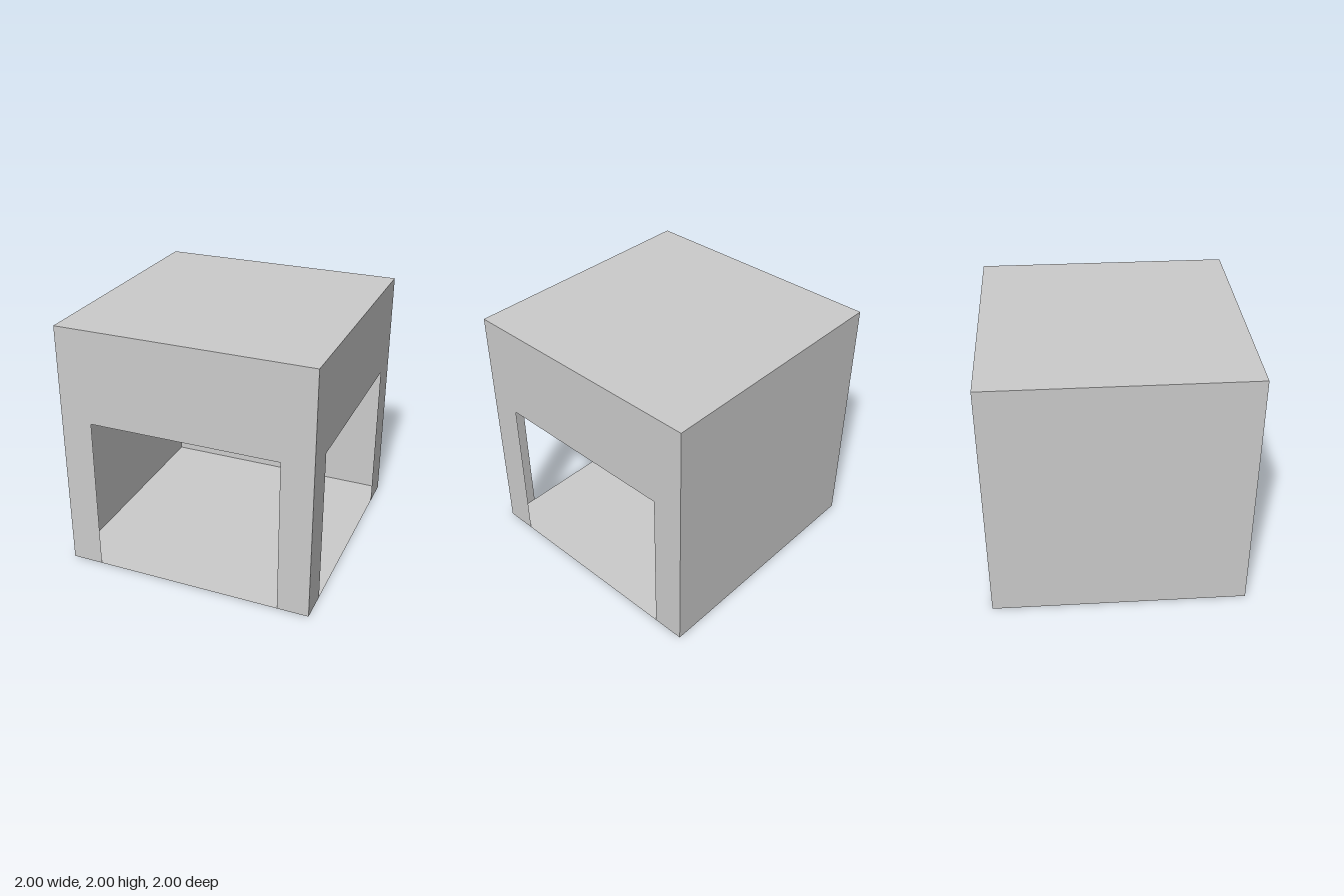
import * as THREE from 'three';

const SIZE = 2, HALF = SIZE / 2;
const OPENING_HALF = 0.75, OPENING_TOP = 1.255;

export function createModel() {
  const group = new THREE.Group();
  const plainGrey = new THREE.MeshStandardMaterial({ color: 0xcccccc, side: THREE.DoubleSide });
  plainGrey.name = 'plainGrey';

  const add = (name, geometry, position, rotation = [0, 0, 0]) => {
    const mesh = new THREE.Mesh(geometry, plainGrey);
    mesh.name = name;
    mesh.position.set(...position);
    mesh.rotation.set(...rotation);
    group.add(mesh);
  };

  // Sheet wall with a doorway that reaches the floor
  const doorway = new THREE.ShapeGeometry(new THREE.Shape([
    [-HALF, 0], [-OPENING_HALF, 0], [-OPENING_HALF, OPENING_TOP],
    [OPENING_HALF, OPENING_TOP], [OPENING_HALF, 0], [HALF, 0],
    [HALF, SIZE], [-HALF, SIZE],
  ].map(([x, y]) => new THREE.Vector2(x, y))));
  const panel = new THREE.PlaneGeometry(SIZE, SIZE);

  // Open walls on the front and the +x side
  add('frontDoorwayWall', doorway, [0, 0, HALF]);
  add('leftDoorwayWall', doorway, [HALF, 0, 0], [0, Math.PI / 2, 0]);

  // Solid walls
  add('backWall', panel, [0, HALF, -HALF], [0, Math.PI, 0]);
  add('rightWall', panel, [-HALF, HALF, 0], [0, -Math.PI / 2, 0]);

  // Roof and floor
  add('roof', panel, [0, SIZE, 0], [-Math.PI / 2, 0, 0]);
  add('floor', panel, [0, 0, 0], [Math.PI / 2, 0, 0]);

  return group;
}
